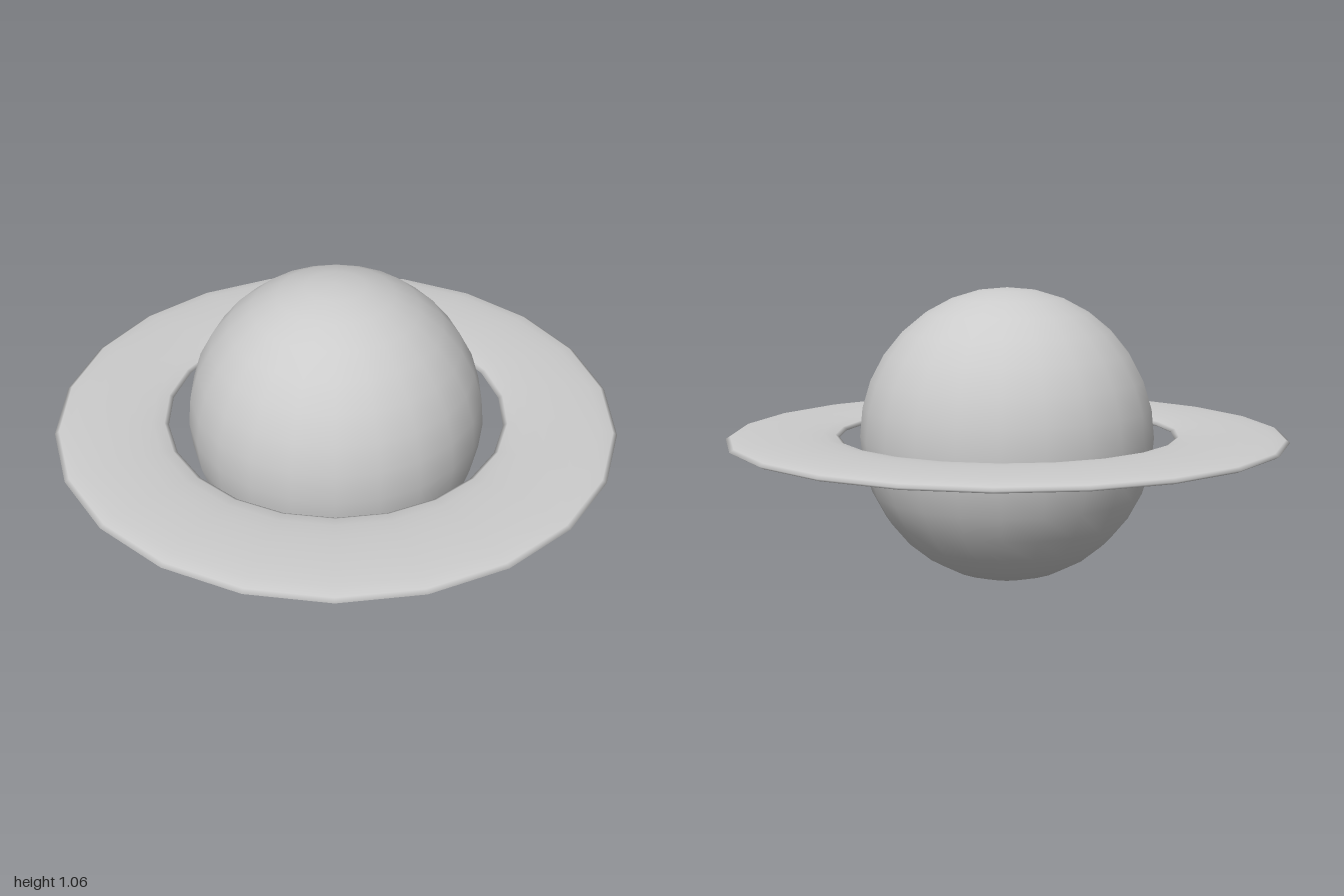
import * as THREE from 'three';

const SIDES = 22;
const CENTRE_Y = 0.528;

export function createModel() {
  const model = new THREE.Group();
  model.name = 'ringedPlanet';
  const material = new THREE.MeshStandardMaterial({ color: 0xcccccc });

  const add = (name, geometry) => {
    const mesh = new THREE.Mesh(geometry, material);
    mesh.name = name;
    mesh.position.y = CENTRE_Y;
    model.add(mesh);
  };

  // Globe, turned so that a column of vertices lies on the z axis
  add('planet', new THREE.SphereGeometry(CENTRE_Y, SIDES, 16).rotateY(Math.PI / 2));

  // Flat ring: a torus squashed to a thin, round-edged disc
  const ring = new THREE.TorusGeometry(0.8, 0.2, 16, SIDES);
  ring.scale(1, 1, 0.12).rotateX(Math.PI / 2).rotateY(Math.PI / 2);
  add('ring', ring);

  return model;
}
